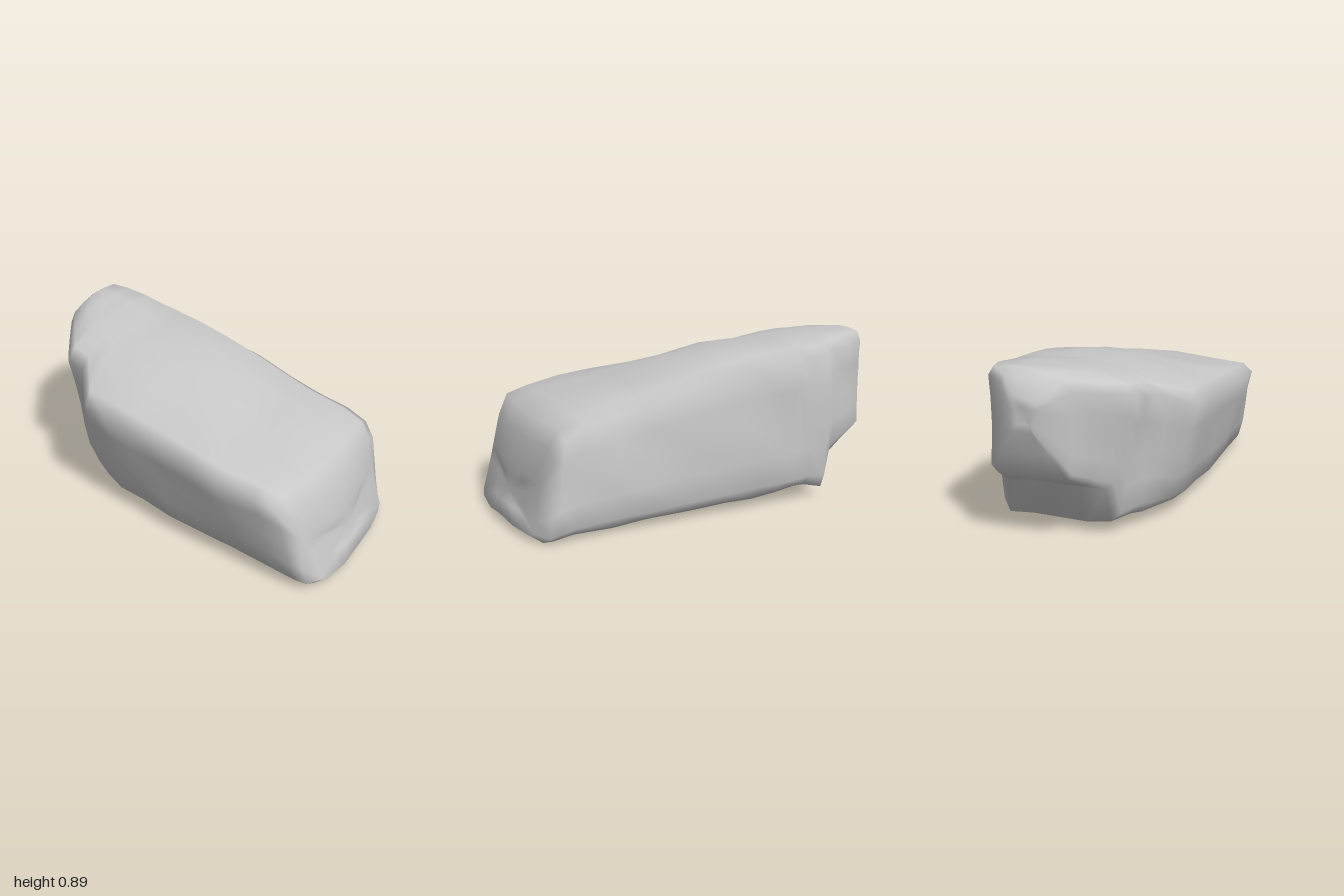
import * as THREE from 'three';

const { lerp } = THREE.MathUtils;

// Builds a function of z from a few [z, value] keys listed front to back
function profile(...keys) {
  return (z) => {
    const i = Math.max(1, keys.findIndex(([k]) => k <= z));
    const [[z0, v0], [z1, v1]] = [keys[i - 1], keys[i]];
    return lerp(v0, v1, (z0 - z) / (z0 - z1));
  };
}

// Outline of the boulder along its length
const leftBottom = profile([1, -0.3], [0.96, -0.37], [0.3, -0.38], [-0.26, -0.34], [-0.51, -0.24], [-0.91, 0.02], [-1, 0.17]);
const leftTop = profile([1, -0.34], [0.9, -0.48], [0.55, -0.53], [0.1, -0.49], [-0.4, -0.47], [-0.57, -0.27], [-0.68, -0.26], [-1, 0.14]);
const right = profile([1, 0.44], [0.96, 0.52], [-0.68, 0.5], [-0.91, 0.43], [-1, 0.28]);
const base = profile([1, 0.03], [0.95, 0], [-0.4, 0.03], [-0.68, 0.06], [-0.71, 0.25], [-0.91, 0.36], [-1, 0.6]);
const topLeft = profile([1, 0.28], [0.96, 0.43], [0.9, 0.52], [0.78, 0.56], [-0.4, 0.66], [-0.57, 0.76], [-0.91, 0.82], [-1, 0.74]);
const topRight = profile([1, 0.3], [0.96, 0.45], [0.9, 0.54], [0.78, 0.6], [0.35, 0.67], [0.1, 0.74], [-0.4, 0.82], [-0.95, 0.88], [-1, 0.77]);

// Lean of the front face, lean of the right side, swell of the top and belly of the underside
const frontLean = profile([1, 0.08], [0.8, 0.08], [0, 0], [-1, 0]);
const rightLean = profile([1, 0.05], [0.6, 0.06], [-0.3, 0.02], [-0.7, 0], [-1, 0]);
const crown = profile([1, 0.01], [0.6, 0.02], [-0.26, 0.09], [-0.57, 0.05], [-0.91, 0.05], [-1, 0.01]);
const belly = profile([1, 0], [0.8, 0.03], [-0.6, 0.05], [-0.71, 0], [-1, 0]);

const STATIONS = [1, 0.96, 0.9, 0.78, 0.55, 0.35, 0.1, -0.1, -0.26, -0.4, -0.51, -0.57, -0.68, -0.71, -0.82, -0.91, -0.96, -1];
const STEPS = [0.07, 0.28, 0.5, 0.72, 0.93];

// Smooth repeatable bumps that give the worn stone surface
function bump({ x, y, z }) {
  return 0.011 * Math.sin(9 * x + 5 * z + 1) * Math.sin(11 * y - 4 * z)
    + 0.008 * Math.sin(17 * z + 7 * y) * Math.cos(15 * x + 2);
}

// One four-sided cross-section with cut corners
function ring(z) {
  const low = base(z) + belly(z);
  const zTop = z - frontLean(z);
  const corners = [
    new THREE.Vector3(leftBottom(z), low, z),
    new THREE.Vector3(right(z), low, z),
    new THREE.Vector3(right(z) - rightLean(z), topRight(z), zTop),
    new THREE.Vector3(leftTop(z), topLeft(z), zTop),
  ];
  const swell = [-belly(z), 0, crown(z), 0];
  return corners.flatMap((corner, side) => STEPS.map((t) => {
    const p = corner.clone().lerp(corners[(side + 1) % 4], t);
    p.y += swell[side] * 4 * t * (1 - t);
    // The front face bows away towards its sides
    p.z -= 0.28 * Math.max(0, p.z) ** 2 * (p.x + 0.08) ** 2;
    if (side % 2) p.x += bump(p);
    else p.y = Math.max(0, p.y + bump(p));
    return p;
  }));
}

function boulderGeometry() {
  const rings = STATIONS.map(ring);
  const count = rings[0].length;
  const vertices = rings.flat();
  const index = [];

  // Skin between neighbouring sections
  for (let i = 0; i < rings.length - 1; i++) {
    for (let j = 0; j < count; j++) {
      const a = i * count + j;
      const b = i * count + (j + 1) % count;
      index.push(a, a + count, b, b, a + count, b + count);
    }
  }

  // Front and back faces: an inner ring and a centre point each
  function cap(ringNumber, isFront) {
    const start = ringNumber * count;
    const points = rings[ringNumber];
    const centre = new THREE.Vector3();
    points.forEach((p) => centre.addScaledVector(p, 1 / count));
    const inner = vertices.length;
    points.forEach((p) => {
      const q = p.clone().lerp(centre, 0.5);
      q.z += 0.5 * bump(q);
      vertices.push(q);
    });
    centre.z += 0.5 * bump(centre);
    const hub = vertices.push(centre) - 1;
    const face = (a, b, c) => index.push(a, ...(isFront ? [b, c] : [c, b]));
    for (let j = 0; j < count; j++) {
      const k = (j + 1) % count;
      face(start + j, start + k, inner + j);
      face(inner + j, start + k, inner + k);
      face(hub, inner + j, inner + k);
    }
  }
  cap(0, true);
  cap(rings.length - 1, false);

  const geometry = new THREE.BufferGeometry().setFromPoints(vertices);
  geometry.setIndex(index);
  geometry.computeVertexNormals();
  return geometry;
}

export function createModel() {
  const stone = new THREE.MeshStandardMaterial({ color: 0xc8c8c8 });
  stone.name = 'stone grey';
  const boulder = new THREE.Mesh(boulderGeometry(), stone);
  boulder.name = 'boulder';
  const group = new THREE.Group();
  group.name = 'rock';
  group.add(boulder);
  return group;
}
